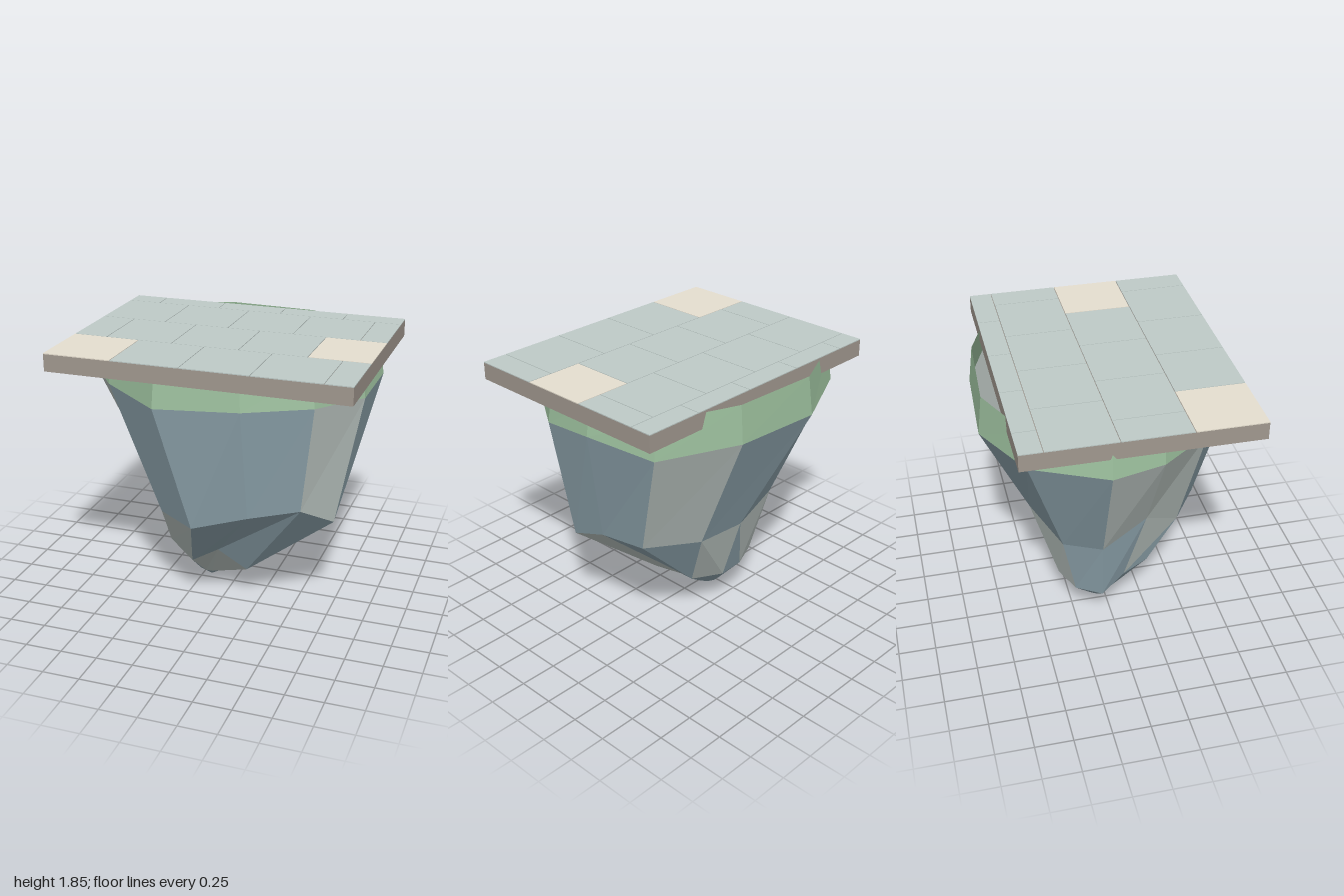
import * as THREE from 'three';

const mat = (name, color, side = THREE.FrontSide) => {
  const m = new THREE.MeshStandardMaterial({ color, side });
  m.name = name;
  return m;
};

// Rings of the rock, [x, y, z], running from +x towards +z
const rim = [
  [0.98, 1.635, -0.13], [0.95, 1.59, 0.26], [0.72, 1.61, 0.61], [0.30, 1.59, 0.77],
  [-0.25, 1.57, 0.825], [-0.66, 1.60, 0.55], [-0.93, 1.61, 0.20], [-1.0, 1.60, -0.14],
  [-0.78, 1.60, -0.61], [-0.30, 1.57, -0.83], [0.33, 1.58, -0.80], [0.87, 1.59, -0.59],
];
const waist = [
  [0.77, 0.80, 0.0], [0.78, 0.71, 0.26], [0.62, 0.87, 0.51], [0.30, 0.82, 0.62],
  [-0.07, 0.71, 0.66], [-0.35, 0.71, 0.47], [-0.55, 0.91, 0.2], [-0.59, 0.73, -0.1],
  [-0.5, 0.75, -0.35], [-0.03, 0.74, -0.49], [0.33, 0.75, -0.47], [0.73, 0.82, -0.33],
];
const low = [
  [0.19, 0.29, -0.08], [0.22, 0.27, 0.06], [0.16, 0.22, 0.20], [-0.01, 0.40, 0.31],
  [-0.21, 0.27, 0.28], [-0.37, 0.40, 0.26], [-0.44, 0.36, 0.08], [-0.49, 0.25, -0.08],
  [-0.41, 0.27, -0.25], [-0.22, 0.27, -0.33], [-0.03, 0.27, -0.34], [0.20, 0.30, -0.26],
];
const n = rim.length;
const tip = low.map((_, i) => {
  const a = (i - 0.5) / n * Math.PI * 2;
  return [-0.18 + 0.1 * Math.cos(a), 0.065, -0.06 + 0.09 * Math.sin(a)];
});
const apex = low.map(() => [-0.19, 0, -0.055]);
const lip = rim.map(([x, y, z]) => [x * 0.965, 1.83, z * 0.965]);

// Flat faceted skin between rings; grey[k] lists the triangles of tier k in the second material
// (two triangles per column: 2i is the upper one, 2i + 1 the lower one)
function skin(name, rings, materials, grey = []) {
  const lists = [[], []];
  for (let k = 0; k < rings.length - 1; k++) {
    const u = rings[k], l = rings[k + 1];
    for (let i = 0; i < n; i++) {
      const j = (i + 1) % n;
      const tris = [[u[i], u[j], l[j]], [u[i], l[j], l[i]]];
      tris.forEach((t, h) => {
        if (l === apex && h === 1) return;
        const which = grey[k] && grey[k].includes(2 * i + h) ? 1 : 0;
        lists[which].push(...t.flat());
      });
    }
  }
  const g = new THREE.BufferGeometry();
  g.setAttribute('position', new THREE.Float32BufferAttribute(lists.flat(), 3));
  g.addGroup(0, lists[0].length / 3, 0);
  if (lists[1].length) g.addGroup(lists[0].length / 3, lists[1].length / 3, 1);
  g.computeVertexNormals();
  const mesh = new THREE.Mesh(g, materials);
  mesh.name = name;
  return mesh;
}

export function createModel() {
  const model = new THREE.Group();
  model.name = 'floatingIsland';

  const grass = mat('grass green', 0x9abd9b, THREE.DoubleSide);
  const blueRock = mat('blue rock', 0x8ea4ad, THREE.DoubleSide);
  const greyRock = mat('grey rock', 0xbac4c0, THREE.DoubleSide);
  const mortar = mat('mortar', 0xa1988f);
  const stone = mat('paving stone', 0xbfcbc8);
  const sand = mat('sand paving', 0xe6dfd0);

  // Island body, open at the top under the terrace
  model.add(skin('grassBand', [lip, rim], [grass]));
  model.add(skin('rock', [rim, waist, low, tip, apex], [blueRock, greyRock], [
    [2, 3, 10, 11, 12, 13, 20, 21],
    [0, 1, 8, 9, 10, 16, 17, 18, 21],
    [0, 1, 4, 6, 7],
  ]));

  // Terrace slab
  const x0 = -0.975, x1 = 1.0, z0 = -0.688, z1 = 0.813, top = 1.843;
  const slab = new THREE.Mesh(new THREE.BoxGeometry(x1 - x0, top - 1.73, z1 - z0), mortar);
  slab.position.set((x0 + x1) / 2, (top + 1.73) / 2, (z0 + z1) / 2);
  slab.name = 'terraceSlab';
  model.add(slab);

  // Paving in staggered rows, with thin joints
  const paving = new THREE.Group();
  paving.name = 'paving';
  const rows = [z0, -0.54, -0.09, 0.36, z1];
  const joints = [
    [x0, -0.75, -0.30, 0.15, 0.60, x1],
    [x0, -0.525, -0.075, 0.375, 0.825, x1],
  ];
  const gap = 0.005;
  for (let r = 0; r < 4; r++) {
    const xs = joints[r % 2];
    for (let c = 0; c < 5; c++) {
      const isSand = (r === 2 && c === 4) || (r === 3 && c === 0);
      const left = xs[c] + (c ? gap / 2 : 0), right = xs[c + 1] - (c < 4 ? gap / 2 : 0);
      const back = rows[r] + (r ? gap / 2 : 0), front = rows[r + 1] - (r < 3 ? gap / 2 : 0);
      const tile = new THREE.Mesh(
        new THREE.BoxGeometry(right - left, 0.006, front - back), isSand ? sand : stone);
      tile.position.set((left + right) / 2, top + 0.003, (back + front) / 2);
      tile.name = 'pavingStone';
      paving.add(tile);
    }
  }
  model.add(paving);
  return model;
}
